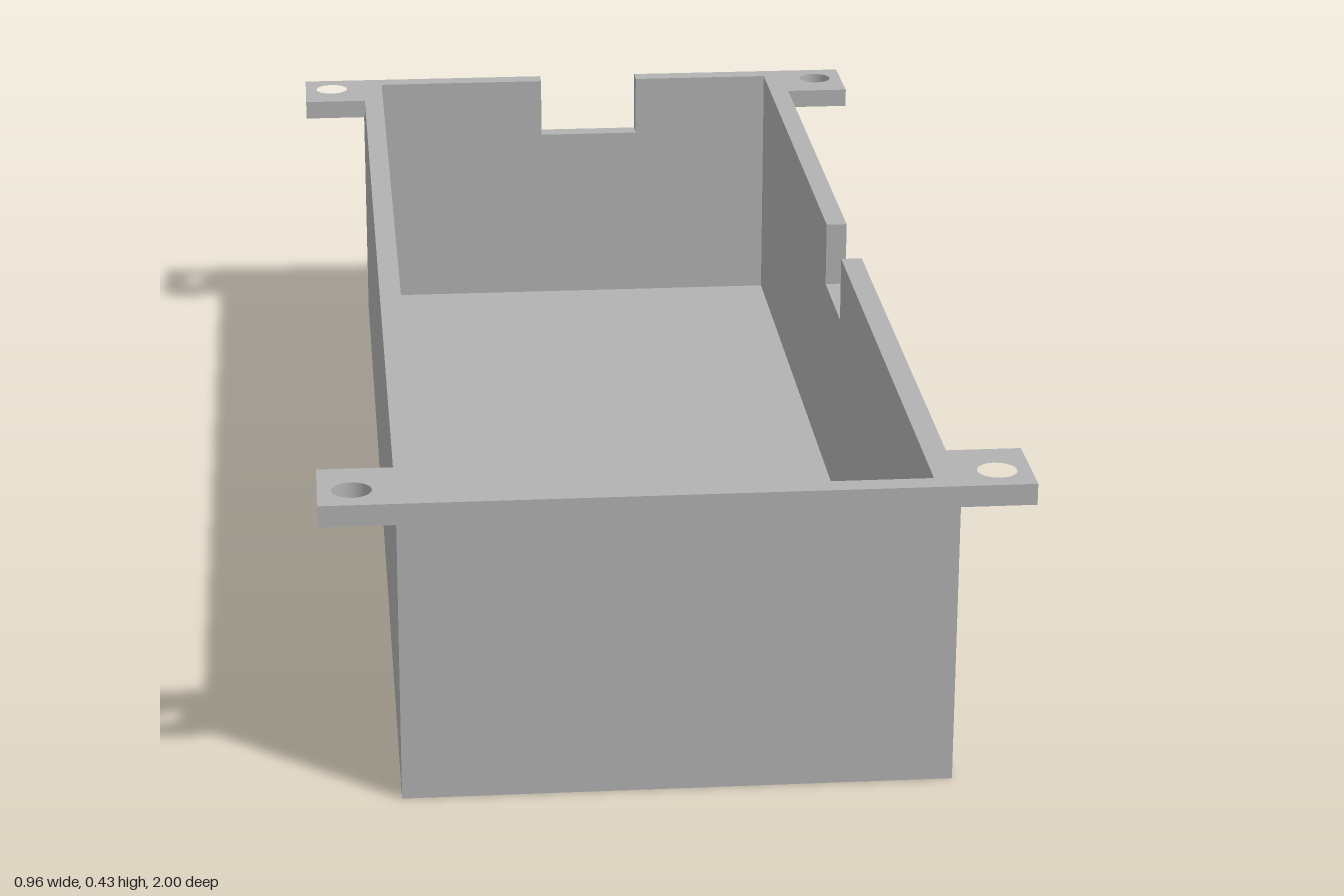
import * as THREE from 'three';

const W = 0.375, L = 1, H = 0.43;   // half width, half length, height
const T = 0.032;                    // wall, floor and tab thickness
const NOTCH_Y = 0.33;

export function createModel() {
  const model = new THREE.Group();
  model.name = 'mountingTray';
  const grey = new THREE.MeshStandardMaterial({ color: 0xb2b2b2 });
  grey.name = 'grey';

  const add = (name, geometry) => {
    const mesh = new THREE.Mesh(geometry, grey);
    mesh.name = name;
    model.add(mesh);
    return mesh;
  };

  // Upright wall panel, with an optional cable notch in its top edge
  const wall = (name, half, notch) => {
    const points = [[-half, T], [half, T], [half, H]];
    if (notch) {
      const [a, b] = notch;
      points.push([b, H], [b, NOTCH_Y], [a, NOTCH_Y], [a, H]);
    }
    points.push([-half, H]);
    const shape = new THREE.Shape(points.map(([u, y]) => new THREE.Vector2(u, y)));
    return add(name, new THREE.ExtrudeGeometry(shape, { depth: T, bevelEnabled: false }));
  };

  // Floor
  add('floor', new THREE.BoxGeometry(2 * W, T, 2 * L)).position.y = T / 2;

  // End walls
  wall('frontWall', W).position.z = L - T;
  wall('backWall', W, [-0.058, 0.112]).position.z = -L;

  // Side walls, fitted between the end walls
  const left = wall('leftWall', L - T, [-0.113, 0.057]);
  left.rotation.y = -Math.PI / 2;
  left.position.x = W;
  const right = wall('rightWall', L - T);
  right.rotation.y = -Math.PI / 2;
  right.position.x = -W + T;

  // Corner mounting tabs with screw holes
  const tabThickness = 0.03;
  for (const sx of [-1, 1]) {
    for (const sz of [-1, 1]) {
      const corners = [[W, 0.87], [0.478, 0.87], [0.478, L], [W, L]];
      const shape = new THREE.Shape(corners.map(([x, z]) => new THREE.Vector2(sx * x, -sz * z)));
      const hole = new THREE.Path();
      hole.absarc(sx * 0.432, -sz * 0.947, 0.027, 0, Math.PI * 2, true);
      shape.holes.push(hole);
      const geometry = new THREE.ExtrudeGeometry(shape, {
        depth: tabThickness, bevelEnabled: false, curveSegments: 32,
      });
      geometry.rotateX(-Math.PI / 2);
      const name = (sz > 0 ? 'front' : 'back') + (sx > 0 ? 'Left' : 'Right') + 'Tab';
      add(name, geometry).position.y = H - tabThickness;
    }
  }

  return model;
}
